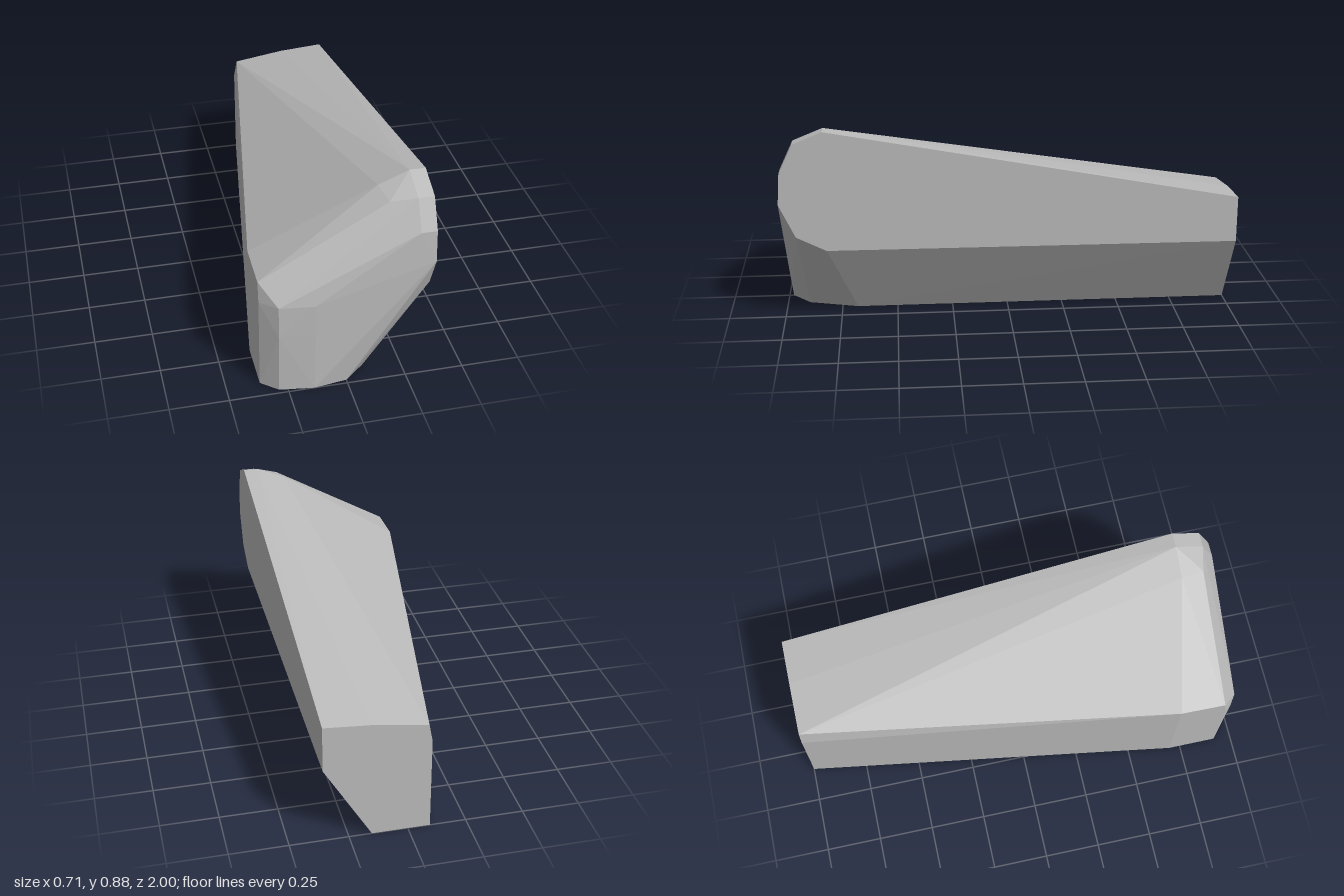
import * as THREE from 'three';
import { ConvexGeometry } from 'three/addons/geometries/ConvexGeometry.js';

export function createModel() {
  const grey = new THREE.MeshStandardMaterial({ color: 0xbababa });
  grey.name = 'light grey';

  const points = [];
  const add = (list, toPoint) => list.forEach((p) => points.push(toPoint(p)));

  // flat inner side at x = 0.357, outline as [z, y]
  add([[0.8, 0.885], [0.93, 0.832], [0.99, 0.705], [1, 0.565], [0.93, 0.415],
    [0.8, 0.35], [-1, 0.345], [-1, 0.55]], ([z, y]) => new THREE.Vector3(0.357, y, z));

  // flat base at y = 0, outline as [x, z]
  add([[-0.357, 0.7], [-0.357, 0.92], [-0.287, 0.98], [-0.14, 1], [0, 0.98],
    [0.09, 0.9], [0.153, 0.68], [0.153, -1], [-0.095, -1]], ([x, z]) => new THREE.Vector3(x, 0, z));

  // rear end at z = -1, upper corners as [x, y]
  add([[-0.095, 0.42], [-0.08, 0.5], [0.155, 0.535]], ([x, y]) => new THREE.Vector3(x, y, -1));

  // sloping top and rounded nose as [x, y, z]
  add([
    [-0.357, 0.52, 0.7], [-0.357, 0.51, 0.905], [-0.357, 0.42, 0.92],
    [0.16, 0.832, 0.8], [0.29, 0.885, 0.8],
    [0.18, 0.814, 0.905], [0.29, 0.832, 0.93],
    [-0.287, 0.42, 0.98], [0.29, 0.705, 0.99],
    [-0.287, 0.275, 0.985], [-0.14, 0.42, 0.998], [-0.14, 0.275, 1],
  ], (p) => new THREE.Vector3(...p));

  const body = new THREE.Mesh(new ConvexGeometry(points), grey);
  body.name = 'taperedBody';

  const model = new THREE.Group();
  model.name = 'taperedBlock';
  model.add(body);
  return model;
}
